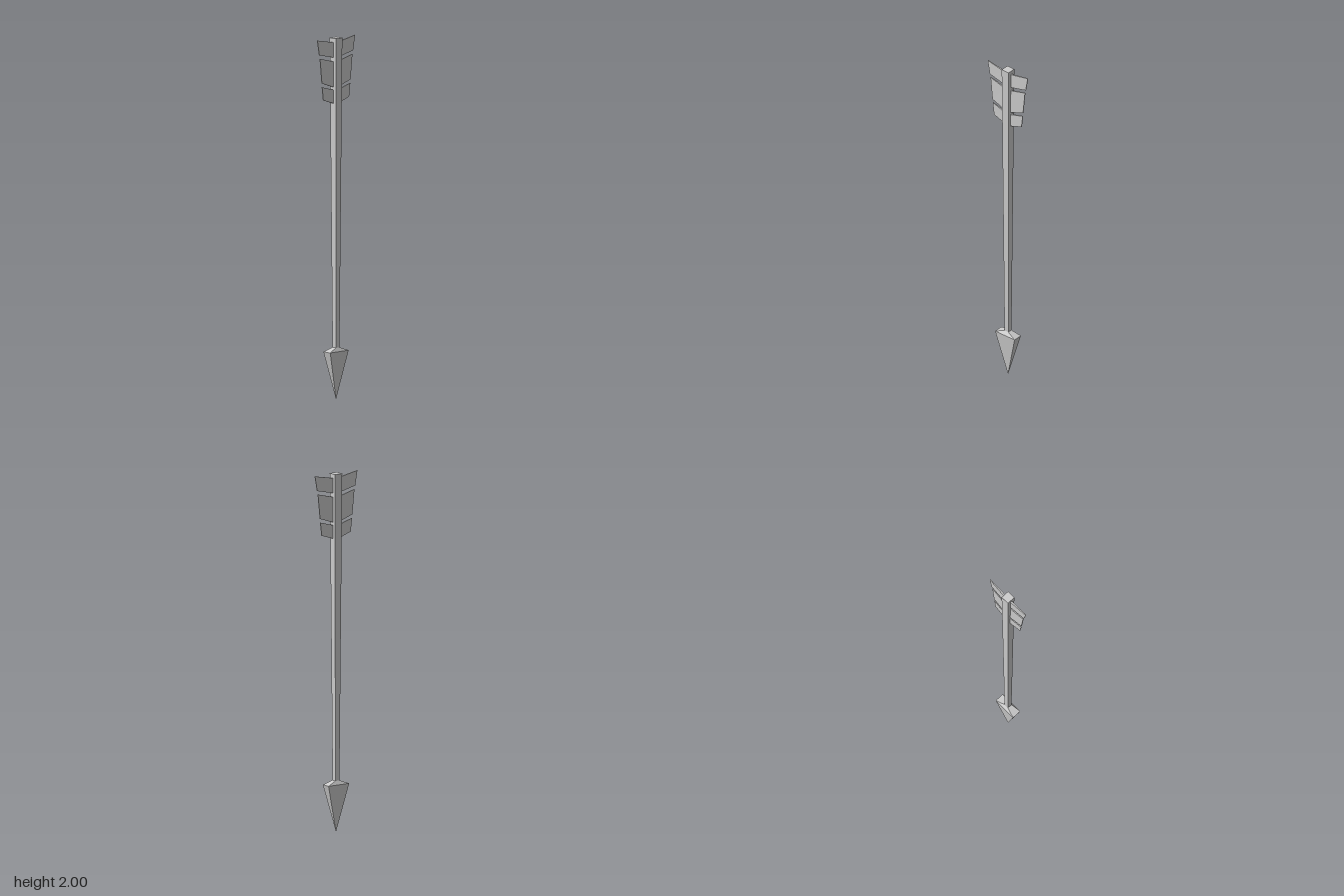
import * as THREE from 'three';

const material = new THREE.MeshStandardMaterial({ color: 0xcccccc, flatShading: true });

function part(name, geometry) {
  geometry.computeVertexNormals();
  const mesh = new THREE.Mesh(geometry, material);
  mesh.name = name;
  return mesh;
}

// Unit box whose corners are moved by a rule taking the signs of x, y and z
function shapedBox(rule) {
  const geometry = new THREE.BoxGeometry(2, 2, 2);
  const p = geometry.attributes.position;
  for (let i = 0; i < p.count; i++) p.setXYZ(i, ...rule(p.getX(i), p.getY(i), p.getZ(i)));
  return geometry;
}

// Four-sided block with different half sizes [x, z] at its lower and upper ends
function taper(y0, y1, lower, upper) {
  return shapedBox((x, y, z) => {
    const [hx, hz] = y < 0 ? lower : upper;
    return [x * hx, y < 0 ? y0 : y1, z * hz];
  });
}

// Feather: root edge at the shaft, swept up to a thinner outer edge
function feather(side, [rootLow, rootHigh, tipLow, tipHigh, zLow, zHigh]) {
  return shapedBox((x, y, z) => {
    const outer = z * side > 0;
    const height = outer ? (y < 0 ? tipLow : tipHigh) : (y < 0 ? rootLow : rootHigh);
    const reach = outer ? (y < 0 ? zLow : zHigh) : 0.018;
    return [x * (outer ? 0.0022 : 0.005), height, side * reach];
  });
}

export function createModel() {
  const arrow = new THREE.Group();
  arrow.name = 'arrow';

  // Square shaft, slimmer toward the head
  arrow.add(part('shaft', taper(0.28, 2, [0.0135, 0.0135], [0.0245, 0.0245])));

  // Flat pyramid head pointing down, with a sloped shoulder
  const point = new THREE.ConeGeometry(Math.SQRT2, 0.267, 4, 1, true);
  point.rotateY(Math.PI / 4).rotateX(Math.PI).scale(0.027, 1, 0.069).translate(0, 0.1335, 0);
  arrow.add(part('headPoint', point));
  arrow.add(part('headShoulder', taper(0.267, 0.288, [0.027, 0.069], [0.0135, 0.0135])));

  // Three feathers per side: root low/high, tip low/high, reach low/high
  const feathers = [
    [1.892, 1.976, 1.917, 2.0, 0.127, 0.142],
    [1.728, 1.870, 1.759, 1.897, 0.108, 0.122],
    [1.638, 1.713, 1.664, 1.738, 0.097, 0.106],
  ];
  for (const side of [1, -1]) {
    const vane = new THREE.Group();
    vane.name = side > 0 ? 'frontFeathers' : 'backFeathers';
    for (const f of feathers) vane.add(part('feather', feather(side, f)));
    arrow.add(vane);
  }
  return arrow;
}
